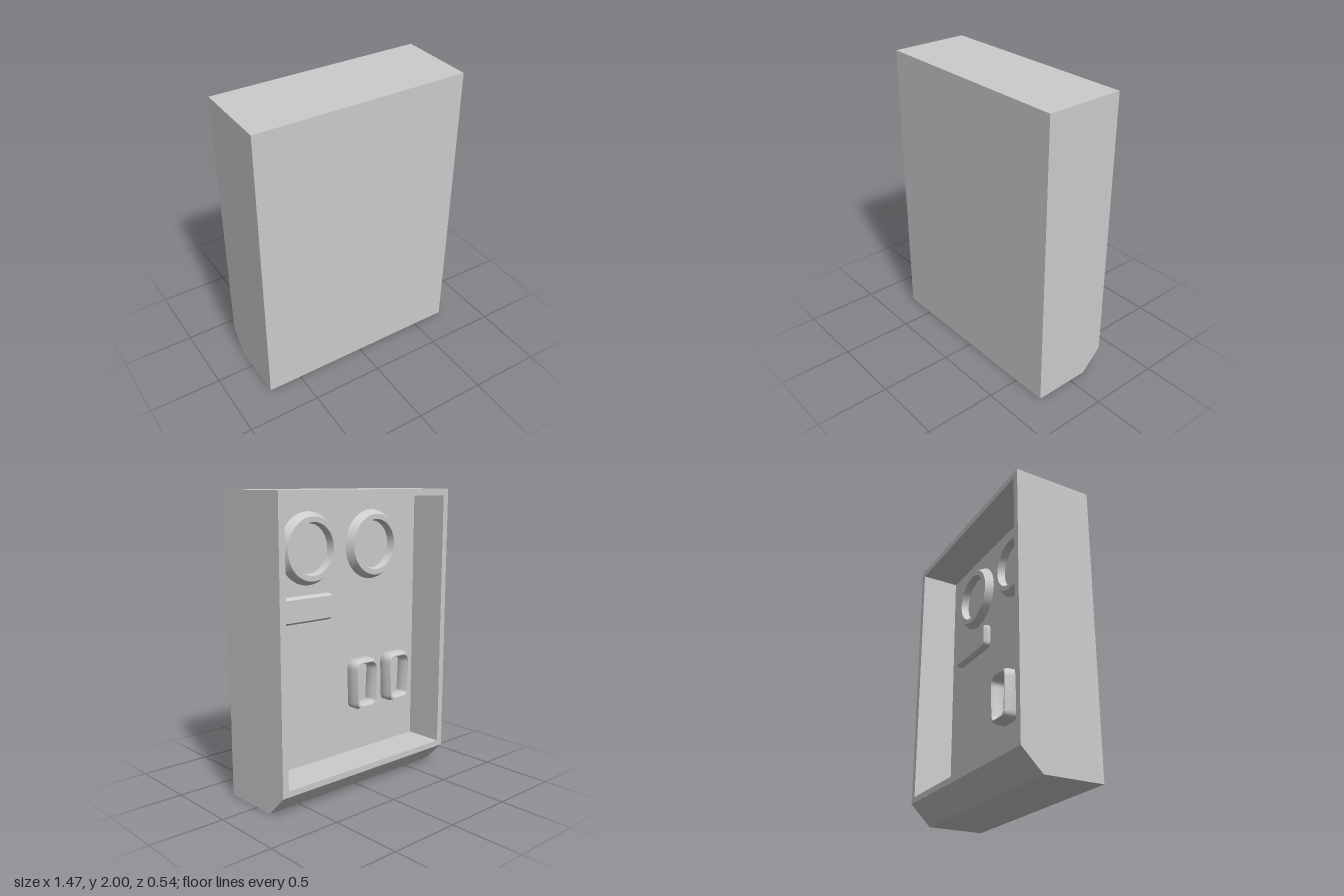
import * as THREE from 'three';
import { toCreasedNormals } from 'three/addons/utils/BufferGeometryUtils.js';

const material = new THREE.MeshStandardMaterial({ color: 0xcccccc });
const HALF_W = 0.735, HALF_D = 0.272, WALL = 0.045, FLOOR = 0.184;

function addMesh(parent, name, geometry, x = 0, y = 0, z = 0) {
  const mesh = new THREE.Mesh(toCreasedNormals(geometry, 0.5), material);
  mesh.name = name;
  mesh.position.set(x, y, z);
  parent.add(mesh);
  return mesh;
}

// Extrude a (z, y) profile along x, centred on x = 0
function extrudeAlongX(points, width) {
  const shape = new THREE.Shape(points.map(([z, y]) => new THREE.Vector2(z, y)));
  const geometry = new THREE.ExtrudeGeometry(shape, { depth: width, bevelEnabled: false });
  return geometry.translate(0, 0, -width / 2).rotateY(-Math.PI / 2);
}

// Symmetric outline with rounded corners, may narrow towards the bottom
function roundedOutline(Type, topW, bottomW, height, topR, bottomR) {
  const h = height / 2;
  const corners = [
    [-bottomW / 2, -h, bottomR], [bottomW / 2, -h, bottomR],
    [topW / 2, h, topR], [-topW / 2, h, topR],
  ].map(([x, y, r]) => ({ p: new THREE.Vector2(x, y), r }));
  const path = new Type();
  corners.forEach(({ p, r }, i) => {
    const toward = (q) => q.clone().sub(p).setLength(r).add(p);
    const a = toward(corners[(i + 3) % 4].p), b = toward(corners[(i + 1) % 4].p);
    if (i === 0) path.moveTo(a.x, a.y);
    else path.lineTo(a.x, a.y);
    path.quadraticCurveTo(p.x, p.y, b.x, b.y);
  });
  path.closePath();
  return path;
}

// Bevelled relief standing out of the panel towards -z; its rear bevel is sunk in the panel
function relief(shape, straight, bevel, inset) {
  return new THREE.ExtrudeGeometry(shape, {
    depth: straight, bevelThickness: bevel, bevelSize: inset, bevelOffset: -inset,
    bevelSegments: 1, curveSegments: 8,
  }).rotateY(Math.PI);
}

export function createModel() {
  const model = new THREE.Group();
  model.name = 'openBackedCase';

  // Case: front panel, top and bottom in one section, plus two side walls
  const d = HALF_D;
  const section = [[d, 0], [d, 2], [-d, 2], [-d, 2 - WALL], [0, 2 - WALL],
    [0, FLOOR], [-d, FLOOR], [-d, 0.143], [-0.13, 0]];
  const sideProfile = [[d, 0], [d, 2], [-d, 2], [-d, 0.143], [-0.13, 0]];
  addMesh(model, 'caseShell', extrudeAlongX(section, 2 * (HALF_W - WALL)));
  for (const [name, s] of [['leftWall', 1], ['rightWall', -1]]) {
    addMesh(model, name, extrudeAlongX(sideProfile, WALL), s * (HALF_W - WALL / 2));
  }

  // Two round collars near the top
  const collar = [[0.235, 0], [0.205, 0.055], [0.17, 0.055], [0.16, 0]]
    .map(([r, h]) => new THREE.Vector2(r, h));
  for (const x of [0.295, -0.26]) {
    addMesh(model, 'roundCollar',
      new THREE.LatheGeometry(collar, 48).rotateX(-Math.PI / 2), x, 1.63, 0);
  }

  // Raised rounded plate below the collars
  const plate = roundedOutline(THREE.Shape, 0.455, 0.455, 0.175, 0.04, 0.04);
  addMesh(model, 'raisedPlate', relief(plate, 0.025, 0.02, 0.015), 0.337, 1.247, 0);

  // Two upright rounded frames in the lower corner
  for (const x of [-0.154, -0.473]) {
    const frame = roundedOutline(THREE.Shape, 0.225, 0.2, 0.35, 0.07, 0.05);
    frame.holes.push(roundedOutline(THREE.Path, 0.15, 0.125, 0.275, 0.05, 0.025));
    addMesh(model, 'uprightFrame', relief(frame, 0.055, 0.035, 0.015), x, 0.675, 0);
  }

  return model;
}
